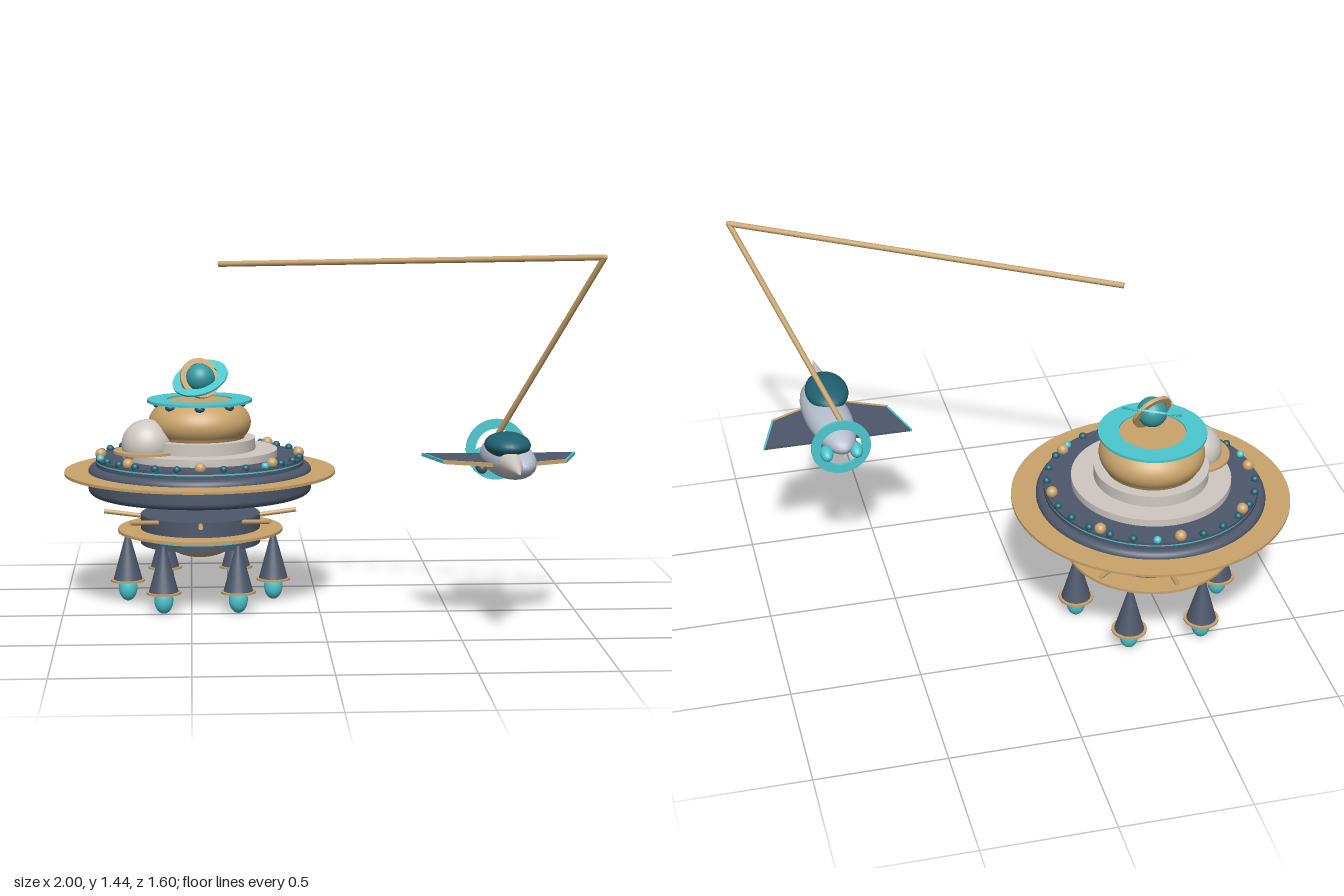
import * as THREE from 'three';

const mat = (name, color) => { const m = new THREE.MeshStandardMaterial({ color }); m.name = name; return m; };

export function createModel() {
  const gold = mat('gold', 0xc9a36b), navy = mat('navy', 0x4d586b), cyan = mat('cyan', 0x4cc8d0),
    deepTeal = mat('deepTeal', 0x1f6070), sea = mat('seaTeal', 0x33989f),
    ivory = mat('ivory', 0xd0c8c2), silver = mat('silver', 0xb6bfcf);
  const root = new THREE.Group();
  root.name = 'stationAndShip';

  // Helpers
  const add = (parent, name, geo, material, x = 0, y = 0, z = 0) => {
    const m = new THREE.Mesh(geo, material);
    m.name = name;
    m.position.set(x, y, z);
    parent.add(m);
    return m;
  };
  const disc = (parent, name, material, r, y0, y1, x = 0, z = 0) =>
    add(parent, name, new THREE.CylinderGeometry(r, r, y1 - y0, 64), material, x, (y0 + y1) / 2, z);
  const ball = (parent, name, material, rx, ry, rz, x, y, z) => {
    const m = add(parent, name, new THREE.SphereGeometry(1, 32, 20), material, x, y, z);
    m.scale.set(rx, ry, rz);
    return m;
  };
  const lathe = (pts) => new THREE.LatheGeometry(pts.map(p => new THREE.Vector2(p[0], p[1])), 64);
  // Flat ring facing z, centred on its thickness
  const annulus = (rOut, rIn, h) => {
    const s = new THREE.Shape().absarc(0, 0, rOut, 0, Math.PI * 2);
    s.holes.push(new THREE.Path().absarc(0, 0, rIn, 0, Math.PI * 2, true));
    return new THREE.ExtrudeGeometry(s, { depth: h, bevelEnabled: false, curveSegments: 40 }).translate(0, 0, -h / 2);
  };
  const rod = (parent, name, material, a, b, r) => {
    const A = new THREE.Vector3(...a), B = new THREE.Vector3(...b), d = B.clone().sub(A);
    const m = add(parent, name, new THREE.CylinderGeometry(r, r, d.length(), 12), material);
    m.position.copy(A).add(B).multiplyScalar(0.5);
    m.quaternion.setFromUnitVectors(new THREE.Vector3(0, 1, 0), d.normalize());
    return m;
  };
  const around = (n, fn) => {
    for (let i = 0; i < n; i++) { const a = i / n * Math.PI * 2; fn(Math.cos(a), Math.sin(a), i); }
  };

  // ---- Station ----
  const station = new THREE.Group();
  station.name = 'station';
  station.position.set(-0.463, 0, -0.265);
  root.add(station);

  // Main saucer with softened rim
  const rim = [[0, 0.437], [0.41, 0.437]];
  for (let i = 0; i <= 6; i++) {
    const a = -Math.PI / 2 + i / 6 * Math.PI / 2;
    rim.push([0.417 + 0.025 * Math.cos(a), 0.462 + 0.025 * Math.sin(a)]);
  }
  for (let i = 0; i <= 6; i++) {
    const a = i / 6 * Math.PI / 2;
    rim.push([0.417 + 0.025 * Math.cos(a), 0.527 + 0.025 * Math.sin(a)]);
  }
  rim.push([0.41, 0.552], [0, 0.552]);
  add(station, 'saucerHull', lathe(rim), navy);
  disc(station, 'outerRing', gold, 0.537, 0.517, 0.528);
  disc(station, 'deckBase', navy, 0.412, 0.55, 0.566);
  disc(station, 'deckTealBand', cyan, 0.411, 0.566, 0.572);
  disc(station, 'deckTop', navy, 0.412, 0.572, 0.583);

  // Deck lamps
  around(28, (c, s, i) => {
    if (i % 7) ball(station, 'smallLamp', i % 9 === 4 ? cyan : deepTeal, 0.015, 0.015, 0.015, c * 0.4, 0.588, s * 0.4);
  });
  around(8, (c, s) => ball(station, 'largeLamp', gold, 0.022, 0.022, 0.022, c * 0.392, 0.594, s * 0.392));

  // Tiers and central dome
  disc(station, 'lowerTier', ivory, 0.307, 0.58, 0.612);
  disc(station, 'upperTier', ivory, 0.22, 0.61, 0.658);
  const dome = [[0, 0.65], [0.178, 0.65]];
  for (let i = 0; i <= 12; i++) {
    const t = -0.5 + i / 12 * 1.38;
    dome.push([0.203 * Math.cos(t), 0.718 + 0.114 * Math.sin(t)]);
  }
  dome.push([0.125, 0.806], [0, 0.806]);
  add(station, 'centralDome', lathe(dome), gold);
  around(8, (c, s) => ball(station, 'domeWindow', deepTeal, 0.02, 0.014, 0.02, c * 0.163, 0.79, s * 0.163));
  add(station, 'domeCollar', annulus(0.207, 0.128, 0.011), cyan, 0, 0.806, 0).rotation.x = -Math.PI / 2;

  // Ringed globe on top
  const globe = new THREE.Group();
  globe.name = 'globeOrnament';
  globe.position.set(0.003, 0.893, 0.005);
  station.add(globe);
  ball(globe, 'globe', sea, 0.058, 0.058, 0.058, 0, 0, 0);
  const orbit = add(globe, 'tiltedRing', annulus(0.112, 0.073, 0.008), cyan);
  orbit.rotation.set(-Math.PI / 2 + 0.52, -0.26, 0);
  const hoop = add(globe, 'uprightRing', annulus(0.082, 0.06, 0.014), gold);
  hoop.rotation.set(-0.42, 0.35, 0, 'YXZ');

  // Side observatory
  disc(station, 'observatoryBase', gold, 0.132, 0.612, 0.622, -0.207, 0.092);
  ball(station, 'observatoryDome', ivory, 0.1, 0.1, 0.1, -0.207, 0.643, 0.092);

  // Lower module
  disc(station, 'lowerModule', navy, 0.237, 0.236, 0.354);
  disc(station, 'lowerTealBand', cyan, 0.247, 0.263, 0.272);
  disc(station, 'lowerCollar', navy, 0.25, 0.272, 0.284);
  disc(station, 'lowerRing', gold, 0.327, 0.284, 0.295);
  ball(station, 'lowerBowl', gold, 0.138, 0.068, 0.138, 0, 0.246, 0);
  around(8, (c, s) => rod(station, 'spoke', gold,
    [c * 0.19, 0.338, s * 0.19], [c * 0.382, 0.363, s * 0.382], 0.009));

  // Thrusters
  around(6, (c, s) => {
    const t = new THREE.Group();
    t.name = 'thruster';
    t.position.set(c * 0.29, 0, s * 0.29);
    station.add(t);
    add(t, 'thrusterCone', new THREE.CylinderGeometry(0.009, 0.058, 0.18, 32), navy, 0, 0.176, 0);
    disc(t, 'thrusterRing', gold, 0.068, 0.08, 0.088);
    ball(t, 'thrusterFlame', cyan, 0.037, 0.054, 0.037, 0, 0.054, 0);
  });

  // ---- Two-piece boom ----
  const elbow = [0.988, 1.425, 0.615];
  rod(root, 'boomUpper', gold, [-0.385, 1.356, -0.092], elbow, 0.011);
  rod(root, 'boomLower', gold, elbow, [0.648, 0.71, 0.232], 0.011);
  ball(root, 'boomElbow', gold, 0.011, 0.011, 0.011, ...elbow);

  // ---- Ship, nose toward +z ----
  const ship = new THREE.Group();
  ship.name = 'ship';
  ship.position.set(0.668, 0.66, 0);
  root.add(ship);
  ball(ship, 'shipHull', silver, 0.09, 0.07, 0.262, 0.014, 0, 0.36).rotation.y = 0.1;
  const nose = add(ship, 'noseCone', new THREE.ConeGeometry(0.046, 0.25, 40), ivory, 0, 0.006, 0.677);
  nose.rotation.x = Math.PI / 2;
  ball(ship, 'noseBase', ivory, 0.046, 0.046, 0.05, 0, 0.006, 0.552);
  ball(ship, 'canopy', deepTeal, 0.085, 0.046, 0.13, 0, 0.065, 0.45);

  // Wings with gold leading edge and cyan tip
  for (const side of [-1, 1]) {
    const plate = (name, material, pts, h, y) => {
      const g = new THREE.ExtrudeGeometry(
        new THREE.Shape(pts.map(p => new THREE.Vector2(side * p[0], p[1]))), { depth: h, bevelEnabled: false });
      const m = add(ship, name, g, material, 0, y + h / 2, 0);
      m.rotation.x = Math.PI / 2;
    };
    plate('wing', navy, [[0.04, 0.2], [0.287, 0.2], [0.226, 0.385], [0.04, 0.472]], 0.009, -0.008);
    plate('wingLeadingEdge', gold, [[0.04, 0.472], [0.226, 0.385], [0.232, 0.393], [0.04, 0.482]], 0.014, -0.008);
    plate('wingTip', cyan, [[0.285, 0.2], [0.293, 0.2], [0.232, 0.39], [0.224, 0.39]], 0.012, -0.008);

    // Engine flame and belly pod
    ball(ship, 'engineFlame', cyan, 0.026, 0.027, 0.043, side * 0.058, -0.02, 0.132);
    const pod = add(ship, 'bellyPod', new THREE.CapsuleGeometry(0.02, 0.05, 6, 16), navy, side * 0.065, -0.06, 0.2);
    pod.rotation.x = Math.PI / 2;
  }
  add(ship, 'tailRing', annulus(0.117, 0.08, 0.01), cyan, 0, 0, 0.135);

  return root;
}
